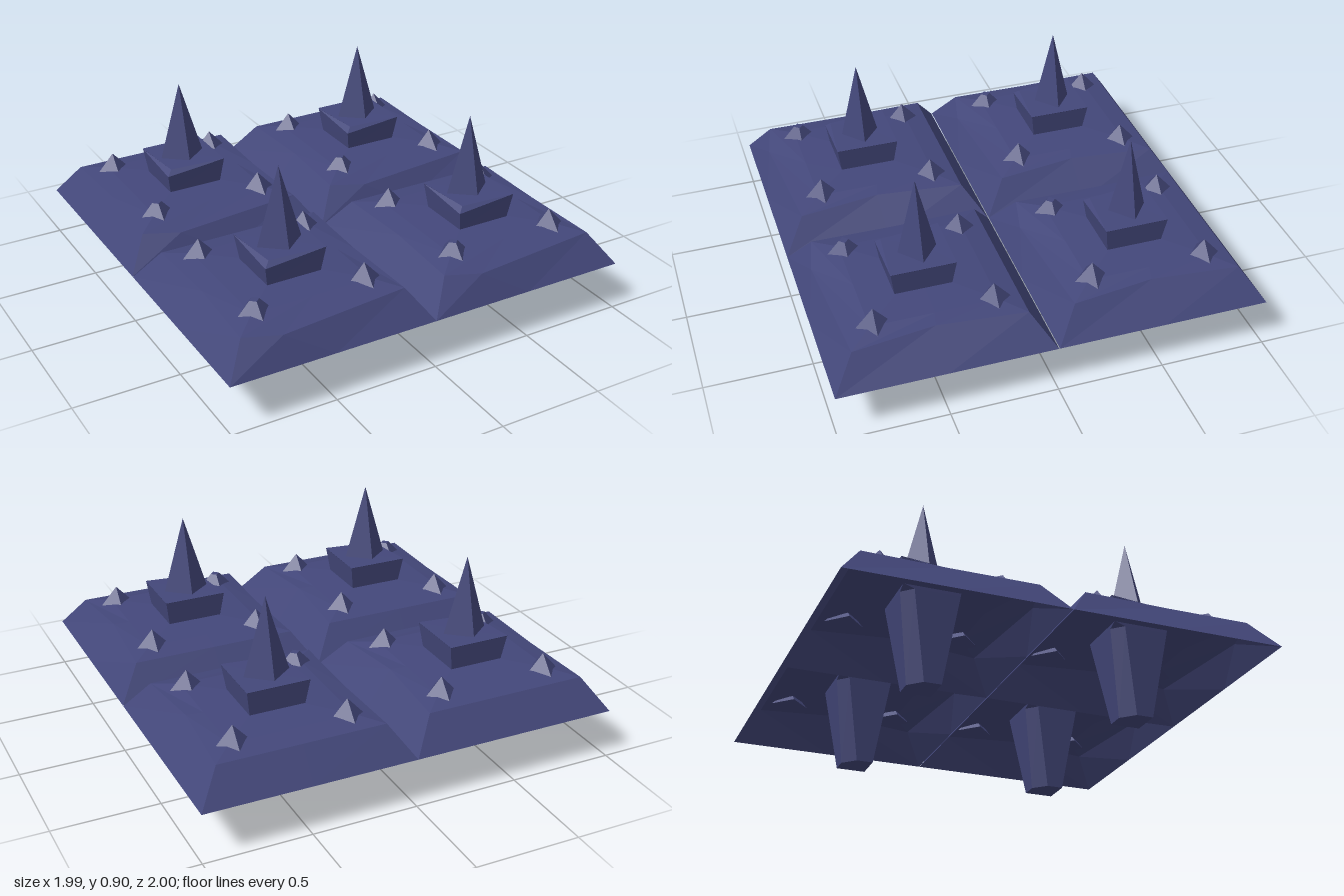
import * as THREE from 'three';

const material = new THREE.MeshStandardMaterial({ color: 0x43477a, flatShading: true });
const shellMaterial = material.clone();
shellMaterial.side = THREE.DoubleSide;

// Skins a stack of loops (points [x, y, z], counter-clockwise from above, bottom first)
function loft(loops, { bottom = true, top = true } = {}) {
  const pos = [];
  const tri = (a, b, c) => pos.push(...a, ...b, ...c);
  const middle = (loop) => [0, 1, 2].map((k) => loop.reduce((s, p) => s + p[k], 0) / loop.length);
  const n = loops[0].length;
  const first = loops[0], last = loops[loops.length - 1];
  for (let i = 0; i < n; i++) {
    const j = (i + 1) % n;
    for (let l = 0; l < loops.length - 1; l++) {
      const a = loops[l], b = loops[l + 1];
      tri(a[i], a[j], b[j]);
      tri(a[i], b[j], b[i]);
    }
    if (bottom) tri(first[j], first[i], middle(first));
    if (top) tri(last[i], last[j], middle(last));
  }
  const geo = new THREE.BufferGeometry();
  geo.setAttribute('position', new THREE.Float32BufferAttribute(pos, 3));
  geo.computeVertexNormals();
  return geo;
}

// Square loop with a point in the middle of each side
const square8 = (h, y) => [
  [-h, y, h], [0, y, h], [h, y, h], [h, y, 0],
  [h, y, -h], [0, y, -h], [-h, y, -h], [-h, y, 0],
];

// Hollow sloping slab with a slightly worn rim and a gently domed top
function plateGeometry() {
  const rim = [
    [-0.395, 0.38, 0.395], [-0.22, 0.36, 0.435], [0.395, 0.38, 0.395], [0.365, 0.4, 0.02],
    [0.39, 0.385, -0.395], [0, 0.385, -0.395], [-0.395, 0.385, -0.395], [-0.38, 0.388, 0],
  ];
  const crown = square8(0.29, 0.405);
  return loft([square8(0.498, 0.235), rim, crown, square8(0.13, 0.415)], { bottom: false });
}

// Tapered post through the slab: cut back-right corner below, chipped front-right corner on top
function postGeometry() {
  const ring = (h, y, cut) => [
    [-h, y, h], [h, y, h], [h, y, -h], [-h + cut, y, -h], [-h, y, -h + cut],
  ];
  const chipped = ring(0.15, 0.535, 0.002);
  chipped[0] = [-0.12, 0.53, 0.125];
  const shoulder = ring(0.149, 0.533, 0.002);
  shoulder[0] = [-0.146, 0.505, 0.146];
  return loft([ring(0.07, 0, 0.06), ring(0.13, 0.4, 0.05), ring(0.132, 0.415, 0.002), shoulder, chipped]);
}

// Four-sided point with its corners on the axes
function pointGeometry(rx, rz, y0, y1, tip = 0) {
  const diamond = (s, y) => [[0, y, rz * s], [rx * s, y, 0], [0, y, -rz * s], [-rx * s, y, 0]];
  return loft([diamond(1, y0), diamond(tip, y1)], { top: tip > 0 });
}

export function createModel() {
  const model = new THREE.Group();
  model.name = 'spikedTiles';

  const plate = plateGeometry();
  const post = postGeometry();
  const spike = pointGeometry(0.11, 0.09, 0.53, 0.9);
  const stud = pointGeometry(0.092, 0.09, 0.378, 0.48);
  const wornStud = pointGeometry(0.092, 0.09, 0.378, 0.455, 0.25);

  const add = (parent, name, geo, x = 0, z = 0, mat = material) => {
    const mesh = new THREE.Mesh(geo, mat);
    mesh.name = name;
    mesh.position.set(x, 0, z);
    parent.add(mesh);
  };

  for (const sx of [-1, 1]) {
    for (const sz of [-1, 1]) {
      const tile = new THREE.Group();
      tile.name = 'tile';
      tile.position.set(sx * 0.498 - 0.002, 0, sz * 0.5);
      add(tile, 'plate', plate, 0, 0, shellMaterial);
      add(tile, 'post', post, -0.004, 0.004);
      // Front left-hand and right-hand spikes sit a hair apart in depth
      add(tile, 'spike', spike, -0.006, sz > 0 ? -sx * 0.007 : -0.004);
      for (const x of [-0.265, 0.267]) {
        for (const z of [-0.275, 0.268]) {
          add(tile, 'stud', x < 0 && z > 0 ? wornStud : stud, x, z);
        }
      }
      model.add(tile);
    }
  }
  return model;
}
